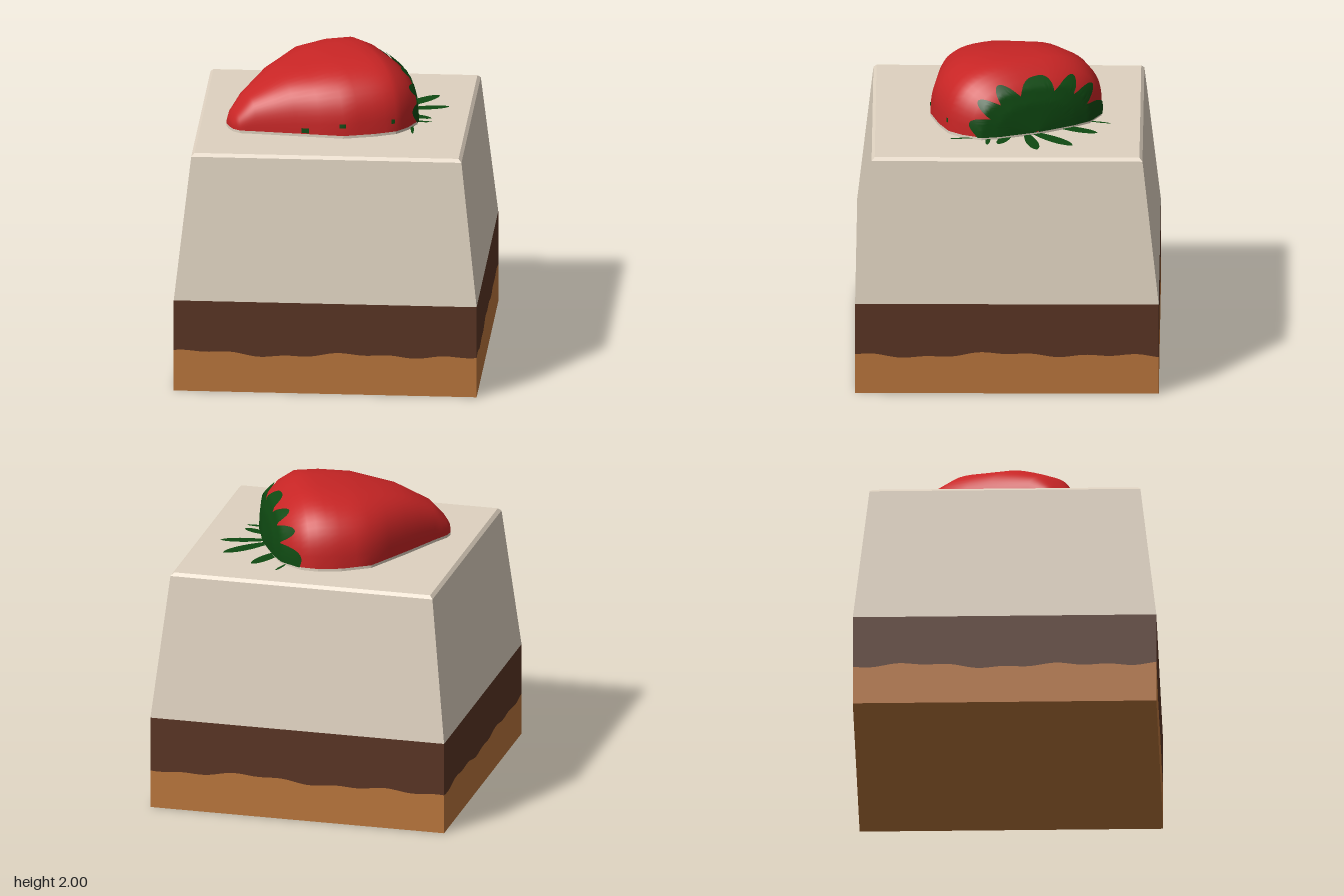
import * as THREE from 'three';

const mat = (name, color, extra = {}) => {
  const m = new THREE.MeshStandardMaterial({ color, ...extra });
  m.name = name;
  return m;
};

// Berry cross-sections from tip to crown: [along axis, sideways centre, half width, height]
const ROWS = [
  [-0.015, 0, 0, 0], [-0.01, 0, 0.06, 0.05], [0.02, 0, 0.11, 0.1], [0.11, -0.01, 0.17, 0.2],
  [0.33, -0.04, 0.33, 0.32], [0.6, -0.07, 0.52, 0.39], [0.8, -0.07, 0.55, 0.412], [0.95, -0.06, 0.54, 0.412],
  [1.05, -0.06, 0.49, 0.365], [1.15, -0.04, 0.38, 0.28], [1.18, -0.03, 0.25, 0.18], [1.2, -0.03, 0, 0],
];
const LAST = ROWS.length - 1;
const TOP = 1.57, BERRY_BASE = 1.588;

// Point on the berry: s is the fractional row, a runs over the top from one side to the other
function berryPoint(s, a, lift = 0) {
  const i = Math.min(Math.floor(s), LAST - 1), f = s - i;
  const [u, c, w, h] = ROWS[i].map((n, k) => n + (ROWS[i + 1][k] - n) * f);
  const round = (n) => Math.sign(n) * Math.pow(Math.abs(n), 2 / 2.7);
  const along = u + (s > 7 ? lift : 0);
  const side = c + (w + lift) * round(Math.cos(a));
  const y = BERRY_BASE + (h + lift) * round(Math.max(0, Math.sin(a)));
  return [-0.65 + 0.908 * along + 0.419 * side, y, 0.34 - 0.419 * along + 0.908 * side];
}

// Smooth grid of points from fn(p, q), both 0..1
function grid(fn, np, nq) {
  const pos = [], idx = [];
  for (let i = 0; i <= np; i++) for (let j = 0; j <= nq; j++) pos.push(...fn(i / np, j / nq));
  for (let i = 0; i < np; i++) for (let j = 0; j < nq; j++) {
    const a = i * (nq + 1) + j, b = a + nq + 1;
    idx.push(a, b, b + 1, a, b + 1, a + 1);
  }
  const g = new THREE.BufferGeometry();
  g.setAttribute('position', new THREE.Float32BufferAttribute(pos, 3));
  g.setIndex(idx);
  g.computeVertexNormals();
  return g;
}

export function createModel() {
  const model = new THREE.Group();
  const biscuit = mat('biscuit', 0xba763c);
  const chocolate = mat('chocolate', 0x5a3524);
  const cream = mat('cream', 0xdfd2c0);
  const red = mat('berry red', 0xc82525);
  const green = mat('leaf green', 0x0f4a12, { side: THREE.DoubleSide });

  const add = (name, geometry, material, parent = model) => {
    const mesh = new THREE.Mesh(geometry, material);
    mesh.name = name;
    parent.add(mesh);
    return mesh;
  };

  // Biscuit and chocolate walls meet in a wavy line running round the cake
  const R = 0.975, BAND = 0.61;
  const wave = (t) => {
    const k = t * Math.PI / 2;
    return 0.262 + 0.01 * Math.sin(9 * k) + 0.007 * Math.sin(23 * k + 1) + 0.007 * Math.sin(5 * k + 2);
  };
  for (let side = 0; side < 4; side++) {
    const wall = (low, high) => grid((p, q) => {
      const t = side + p;
      return [(p * 2 - 1) * R, low(t) + (high(t) - low(t)) * q, R];
    }, 60, 1).rotateY(side * Math.PI / 2);
    add('biscuitWall', wall(() => 0, wave), biscuit);
    add('chocolateWall', wall(wave, () => BAND), chocolate);
  }
  add('biscuitBottom', new THREE.PlaneGeometry(2 * R, 2 * R).rotateX(Math.PI / 2), biscuit);

  // Tapered cream block with a small bevel at the top
  const taper = (r0, r1, y0, y1) => {
    const g = new THREE.CylinderGeometry(r1 * Math.SQRT2, r0 * Math.SQRT2, y1 - y0, 4, 1, true)
      .rotateY(Math.PI / 4).translate(0, (y0 + y1) / 2, 0).toNonIndexed();
    g.computeVertexNormals();
    return g;
  };
  add('creamSides', taper(R, 0.87, BAND, 1.55), cream);
  add('creamBevel', taper(0.87, 0.85, 1.55, TOP), cream);
  add('creamTop', new THREE.PlaneGeometry(1.7, 1.7).rotateX(-Math.PI / 2).translate(0, TOP, 0), cream);

  // Halved berry resting on a thin rim of cream
  const berry = new THREE.Group();
  berry.name = 'berry';
  model.add(berry);
  add('berryFlesh', grid((p, q) => berryPoint(p * LAST, q * Math.PI), LAST * 2, 28), red, berry);
  const outline = [];
  for (let i = 0; i <= LAST; i++) outline.push(berryPoint(i, 0));
  for (let i = LAST - 1; i > 0; i--) outline.push(berryPoint(i, Math.PI));
  const rim = new THREE.Shape(outline.map(([x, , z]) => new THREE.Vector2(x, -z)));
  add('creamRim', new THREE.ExtrudeGeometry(rim, { depth: BERRY_BASE - TOP, bevelEnabled: false })
    .rotateX(-Math.PI / 2).translate(0, TOP, 0), cream, berry);

  // Lobed leafy crown wrapped over the blunt end
  add('crown', grid((p, q) => {
    const a = q * Math.PI;
    const edge = 9.4 - 1.05 * Math.abs(Math.sin(6.5 * a + 0.6)) - 0.5 * Math.pow(q, 6);
    return berryPoint(edge + (LAST - edge) * p, a, 0.008);
  }, 14, 120), green, berry);

  // Few small seeds low on the flank
  for (const [s, a] of [[5, 0.09], [6.87, 0.09], [4.2, 0.03]]) {
    add('seed', grid((p, q) => berryPoint(s + (p - 0.5) * 0.16, a + (q - 0.5) * 0.05, 0.004), 2, 2), green, berry);
  }

  // Flat leaves spread on the cream: base x, z, tip x, z, half width
  const leaves = [
    [0.28, -0.3, 0.41, -0.58, 0.05], [0.4, -0.16, 0.64, -0.42, 0.055], [0.42, -0.12, 0.72, -0.19, 0.045],
    [0.42, -0.02, 0.62, 0.06, 0.04], [0.46, 0.12, 0.63, 0.13, 0.018], [0.5, 0.16, 0.52, 0.38, 0.012],
    [0.19, -0.52, 0.23, -0.66, 0.012],
  ];
  for (const [x0, z0, x1, z1, w] of leaves) {
    const dx = x1 - x0, dz = z1 - z0, len = Math.hypot(dx, dz);
    add('leaf', grid((p, q) => {
      const half = w * Math.pow(Math.sin(Math.PI * (0.12 + 0.88 * p)), 0.6) * (0.6 + 0.5 * p) * (1 - 2 * q);
      return [x0 + dx * p - dz / len * half, TOP + 0.005, z0 + dz * p + dx / len * half];
    }, 12, 1), green);
  }
  return model;
}
